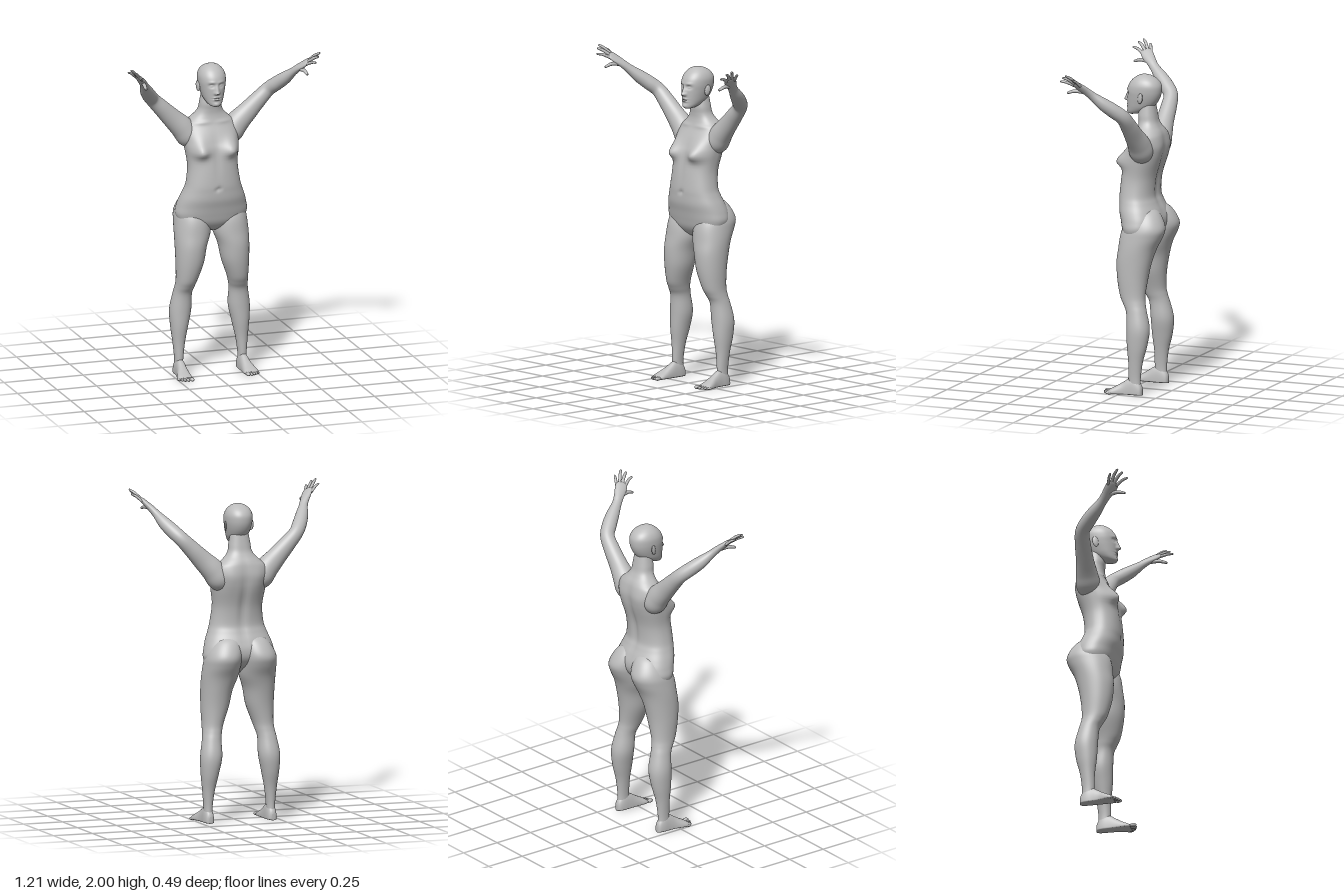
import * as THREE from 'three';

const clay = new THREE.MeshStandardMaterial({ color: 0xbcbcbc });
clay.name = 'clay grey';

const bell = (d, s) => Math.exp(-(d * d) / (s * s));
const pow = (v, p) => Math.sign(v) * Math.abs(v) ** p;

// Smooth in-between rows of a table of cross-sections
function refine(rows, steps) {
  const out = [];
  const last = rows.length - 1;
  for (let i = 0; i < last; i++) {
    const [a, b, c, d] = [rows[Math.max(i - 1, 0)], rows[i], rows[i + 1], rows[Math.min(i + 2, last)]];
    for (let k = 0; k < steps; k++) {
      const t = k / steps;
      out.push(b.map((_, j) => 0.5 * (2 * b[j] + (c[j] - a[j]) * t
        + (2 * a[j] - 5 * b[j] + 4 * c[j] - d[j]) * t * t
        + (3 * b[j] - a[j] - 3 * c[j] + d[j]) * t * t * t)));
    }
  }
  out.push(rows[last]);
  return out;
}

// Closed skin over cross-sections; place() gives the point of a row at an angle
function loft(table, steps, n, place) {
  const rows = refine(table, steps);
  const pos = [], idx = [];
  rows.forEach((row, i) => {
    for (let k = 0; k < n; k++) {
      const a = (k / n) * Math.PI * 2;
      pos.push(...place(row, Math.cos(a), Math.sin(a), i, rows));
    }
  });
  for (let i = 0; i < rows.length - 1; i++) {
    for (let k = 0; k < n; k++) {
      const a = i * n + k, b = i * n + (k + 1) % n;
      idx.push(a, b, b + n, a, b + n, a + n);
    }
  }
  // End caps
  for (const start of [0, (rows.length - 1) * n]) {
    const mid = [0, 0, 0];
    for (let k = 0; k < n; k++) for (let j = 0; j < 3; j++) mid[j] += pos[(start + k) * 3 + j] / n;
    const m = pos.length / 3;
    pos.push(...mid);
    for (let k = 0; k < n; k++) {
      const a = start + k, b = start + (k + 1) % n;
      if (start === 0) idx.push(m, b, a); else idx.push(m, a, b);
    }
  }
  const g = new THREE.BufferGeometry();
  g.setAttribute('position', new THREE.Float32BufferAttribute(pos, 3));
  g.setIndex(idx);
  g.computeVertexNormals();
  return g;
}

// Upright form: rows of [y, centre x, half width, front z, back z]
function column(rows, steps, n, p, sculpt = (q) => q) {
  return loft(rows, steps, n, ([y, x, w, f, b], c, s) =>
    sculpt([x + w * pow(s, p), y, (f + b) / 2 + (f - b) / 2 * pow(c, p)], c));
}

// Limb along a path: rows of [x, y, z, radius across, radius through]
const across = new THREE.Vector3(-0.4, -0.2, 0.9);
function limb(rows, steps, n) {
  return loft(rows, steps, n, ([x, y, z, ru, rv], c, s, i, all) => {
    const a = all[Math.max(i - 1, 0)], b = all[Math.min(i + 1, all.length - 1)];
    const t = new THREE.Vector3(b[0] - a[0], b[1] - a[1], b[2] - a[2]).normalize();
    const u = across.clone().addScaledVector(t, -across.dot(t)).normalize();
    const v = t.clone().cross(u);
    return u.multiplyScalar(ru * c).addScaledVector(v, rv * s).add(new THREE.Vector3(x, y, z)).toArray();
  });
}

// Tapered finger through base, joint and tip
function finger(base, joint, tip, r) {
  const end = tip.map((v, j) => v - (v - joint[j]) * 0.1);
  return limb([[...base, r, r], [...joint, r * 0.95, r * 0.9], [...end, r * 0.7, r * 0.6],
    [...tip, r * 0.15, r * 0.15]], 5, 12);
}

function mirrored(geometry) {
  const g = geometry.clone().scale(-1, 1, 1);
  const ix = g.index.array;
  for (let i = 0; i < ix.length; i += 3) [ix[i], ix[i + 1]] = [ix[i + 1], ix[i]];
  g.computeVertexNormals();
  return g;
}

export function createModel() {
  const model = new THREE.Group();
  model.name = 'figure';
  const add = (name, g) => {
    const mesh = new THREE.Mesh(g, clay);
    mesh.name = name;
    model.add(mesh);
  };
  const pair = (name, g) => {
    add('left' + name, g);
    add('right' + name, mirrored(g));
  };

  // Torso and neck
  add('torso', column([
    [0.895, 0, 0.03, -0.03, -0.08], [0.92, 0, 0.11, 0.0, -0.12], [0.955, 0, 0.195, 0.022, -0.17],
    [1.0, 0, 0.222, 0.035, -0.2], [1.05, 0, 0.215, 0.047, -0.205], [1.1, 0, 0.2, 0.06, -0.19],
    [1.15, 0, 0.18, 0.064, -0.168], [1.2, 0, 0.165, 0.065, -0.155], [1.3, 0, 0.153, 0.056, -0.165],
    [1.4, 0, 0.163, 0.04, -0.193], [1.45, 0, 0.168, 0.02, -0.203], [1.5, 0, 0.172, -0.002, -0.207],
    [1.55, 0, 0.155, -0.027, -0.2], [1.58, 0, 0.122, -0.037, -0.19], [1.61, 0, 0.09, -0.043, -0.172],
    [1.64, 0, 0.072, -0.043, -0.158], [1.68, 0, 0.066, -0.04, -0.15], [1.74, 0, 0.055, -0.05, -0.14],
  ], 6, 72, 0.88, ([x, y, z], c) => {
    const ax = Math.abs(x);
    if (c > 0) {
      const dy = y - 1.395;
      z += 0.047 * bell(ax - 0.1, 0.048) * bell(dy, dy < 0 ? 0.032 : 0.07); // bust
      z -= 0.012 * bell(x, 0.012) * bell(y - 1.17, 0.014); // navel
      z -= 0.005 * bell(x, 0.02) * bell(y - 1.36, 0.12); // breastbone
      z += 0.005 * bell(ax - 0.07, 0.05) * bell(y - 1.563, 0.012); // collarbones
    } else {
      z += 0.014 * bell(x, 0.025) * bell(y - 1.32, 0.2); // spine
      z -= 0.006 * bell(ax - 0.085, 0.04) * bell(y - 1.48, 0.07); // shoulder blades
    }
    return [x, y, z];
  }));

  // Head with sculpted face
  add('head', column([
    [1.673, 0, 0.014, 0.02, -0.005], [1.68, 0, 0.032, 0.031, -0.04], [1.695, 0, 0.047, 0.033, -0.08],
    [1.72, 0, 0.06, 0.033, -0.125], [1.75, 0, 0.069, 0.034, -0.152], [1.785, 0, 0.077, 0.034, -0.17],
    [1.82, 0, 0.082, 0.034, -0.178], [1.855, 0, 0.081, 0.024, -0.176], [1.885, 0, 0.068, 0.003, -0.157],
    [1.907, 0, 0.045, -0.025, -0.125], [1.917, 0, 0.022, -0.048, -0.095], [1.92, 0, 0.004, -0.066, -0.076],
  ], 8, 96, 0.93, ([x, y, z], c) => {
    if (c <= 0) return [x, y, z];
    const ax = Math.abs(x);
    const slope = THREE.MathUtils.clamp((1.815 - y) / 0.055, 0, 1);
    const below = y < 1.76 ? bell(y - 1.76, 0.008) : 1;
    z += 0.026 * slope * below * bell(x, 0.009 + 0.004 * slope); // nose
    z += 0.006 * bell(ax - 0.012, 0.007) * bell(y - 1.763, 0.008); // nostrils
    z -= 0.014 * bell(ax - 0.029, 0.017) * bell(y - 1.806, 0.012); // eye sockets
    z += 0.008 * bell(ax - 0.03, 0.01) * bell(y - 1.804, 0.006); // eyes
    z += 0.004 * bell(ax - 0.028, 0.022) * bell(y - 1.826, 0.008); // brows
    z += 0.008 * bell(x, 0.02) * (bell(y - 1.733, 0.005) + bell(y - 1.719, 0.005)); // lips
    z -= 0.004 * bell(x, 0.024) * bell(y - 1.726, 0.003); // mouth
    z += 0.007 * bell(x, 0.02) * bell(y - 1.69, 0.012); // chin
    return [x, y, z];
  }));

  // Ears
  const place = (g) => g.rotateX(-0.2).rotateY(-0.35).translate(0.083, 1.785, -0.078);
  pair('Ear', place(new THREE.SphereGeometry(1, 20, 14).scale(0.007, 0.031, 0.018)));
  pair('EarRim', place(new THREE.TorusGeometry(1, 0.18, 8, 28).rotateY(Math.PI / 2).scale(0.018, 0.028, 0.016)));

  // Legs, rounded at the top into the buttocks
  pair('Leg', column([
    [0.03, 0.2, 0.026, -0.06, -0.132], [0.1, 0.2, 0.026, -0.055, -0.13], [0.2, 0.198, 0.037, -0.053, -0.142],
    [0.3, 0.193, 0.053, -0.043, -0.167], [0.4, 0.185, 0.065, -0.039, -0.178], [0.5, 0.177, 0.057, -0.032, -0.157],
    [0.55, 0.168, 0.058, -0.008, -0.145], [0.6, 0.159, 0.064, 0.016, -0.14], [0.7, 0.143, 0.083, 0.038, -0.15],
    [0.8, 0.134, 0.094, 0.045, -0.17], [0.88, 0.12, 0.108, 0.038, -0.195], [0.95, 0.114, 0.11, 0.03, -0.23],
    [1.0, 0.11, 0.108, 0.015, -0.245], [1.05, 0.1, 0.098, -0.01, -0.229], [1.1, 0.088, 0.072, -0.05, -0.195],
    [1.13, 0.08, 0.03, -0.09, -0.15],
  ], 5, 48, 0.95));

  // Feet: rows of [z, centre x, half width, height], flat underneath
  pair('Foot', loft([
    [-0.142, 0.2, 0.01, 0.04], [-0.132, 0.2, 0.025, 0.065], [-0.1, 0.2, 0.032, 0.1], [-0.06, 0.2, 0.033, 0.098],
    [-0.02, 0.202, 0.036, 0.074], [0.02, 0.207, 0.043, 0.05], [0.05, 0.209, 0.046, 0.034], [0.072, 0.207, 0.04, 0.02],
  ], 5, 32, ([z, x, w, h], c, s) => [x + w * pow(c, 0.8), s > 0 ? 0.012 + (h - 0.012) * s : 0.012 + 0.012 * pow(s, 0.5), z]));

  // Toes: [x, z, width radius]
  [[0.177, 0.088, 0.013], [0.2, 0.086, 0.0095], [0.218, 0.079, 0.009], [0.234, 0.069, 0.009], [0.249, 0.056, 0.0085]]
    .forEach(([x, z, r], i) => pair('Toe' + (i + 1),
      new THREE.SphereGeometry(1, 14, 10).scale(r, r * 0.9, 0.022).translate(x, r * 0.9, z)));

  // Raised arms running into the palms
  pair('Arm', limb([
    [0.09, 1.42, -0.105, 0.045, 0.045], [0.13, 1.47, -0.108, 0.072, 0.073], [0.175, 1.528, -0.107, 0.066, 0.07],
    [0.235, 1.588, -0.103, 0.054, 0.06], [0.305, 1.66, -0.098, 0.048, 0.05], [0.365, 1.722, -0.087, 0.043, 0.043],
    [0.405, 1.767, -0.043, 0.044, 0.042], [0.44, 1.812, 0.01, 0.039, 0.037], [0.468, 1.857, 0.06, 0.029, 0.025],
    [0.488, 1.886, 0.09, 0.03, 0.021], [0.512, 1.915, 0.122, 0.036, 0.017], [0.533, 1.94, 0.148, 0.033, 0.012],
    [0.54, 1.947, 0.156, 0.012, 0.005],
  ], 6, 36));

  // Fingers and thumbs
  const digits = {
    LittleFinger: [[0.541, 1.932, 0.116], [0.575, 1.964, 0.132], [0.601, 1.975, 0.146], 0.0085],
    RingFinger: [[0.536, 1.938, 0.133], [0.572, 1.979, 0.163], [0.597, 1.999, 0.189], 0.0095],
    MiddleFinger: [[0.53, 1.936, 0.147], [0.56, 1.969, 0.184], [0.58, 1.984, 0.215], 0.01],
    IndexFinger: [[0.52, 1.928, 0.162], [0.542, 1.949, 0.204], [0.555, 1.955, 0.24], 0.0095],
    Thumb: [[0.49, 1.885, 0.1], [0.504, 1.892, 0.163], [0.51, 1.878, 0.214], 0.012],
  };
  for (const [name, d] of Object.entries(digits)) pair(name, finger(...d));

  return model;
}
